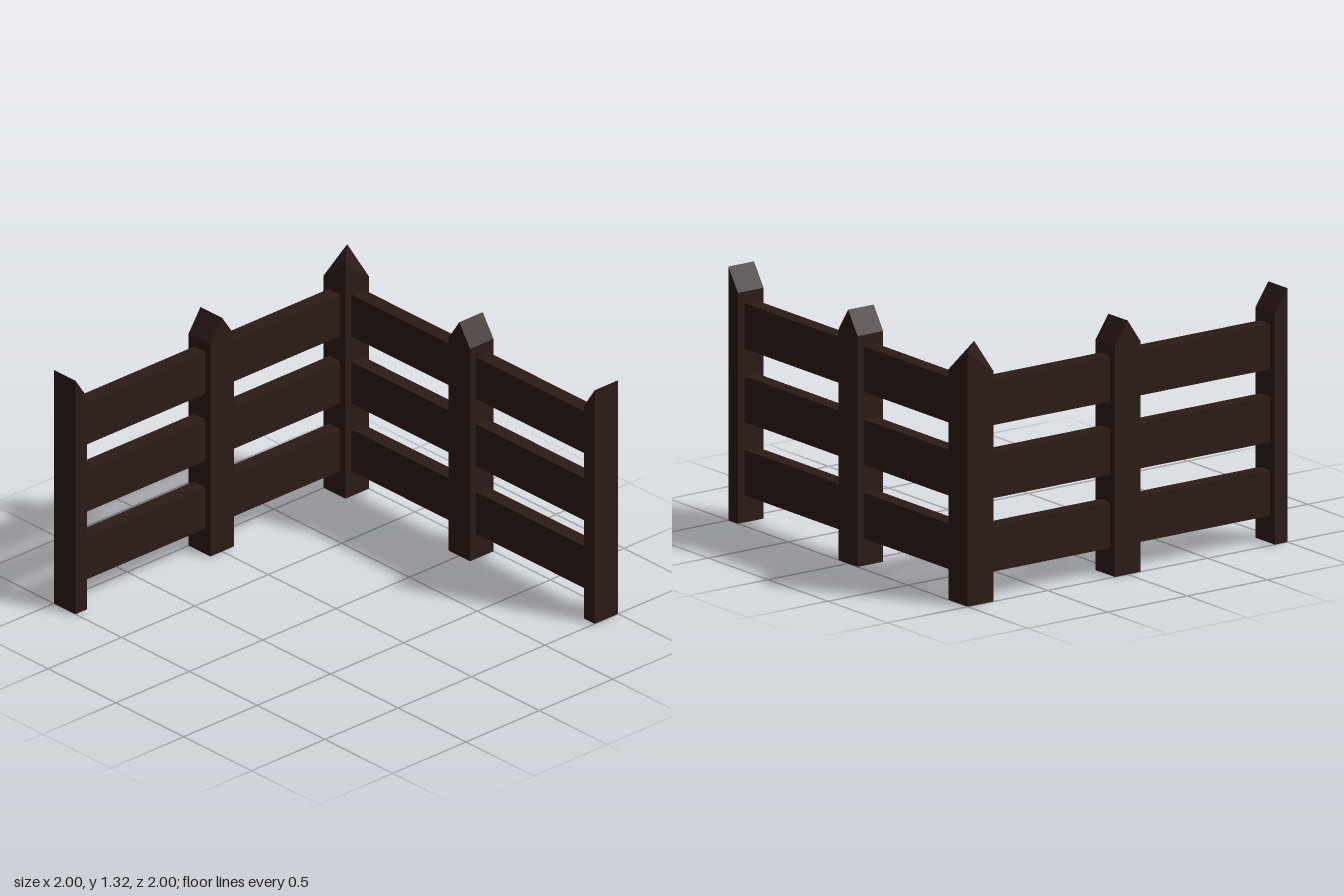
import * as THREE from 'three';

const wood = new THREE.MeshStandardMaterial({ color: 0x2b1b17, flatShading: true });
const HEIGHT = 1.32, SHOULDER = 1.2, HALF = 0.08, CENTRE = -0.92;

function add(parent, name, geometry, x = 0, y = 0, z = 0) {
  const mesh = new THREE.Mesh(geometry, wood);
  mesh.name = name;
  mesh.position.set(x, y, z);
  parent.add(mesh);
}

// Post with a pointed top; the end post is cut off at its ridge
function postGeometry(cutAtRidge) {
  const points = [[-HALF, 0]];
  if (cutAtRidge) points.push([0, 0]);
  else points.push([HALF, 0], [HALF, SHOULDER]);
  points.push([0, HEIGHT], [-HALF, SHOULDER]);
  const shape = new THREE.Shape(points.map(([x, y]) => new THREE.Vector2(x, y)));
  return new THREE.ExtrudeGeometry(shape, { depth: 2 * HALF, bevelEnabled: false })
    .translate(0, 0, -HALF);
}

// Corner post whose ridge runs along the diagonal
function cornerGeometry() {
  const box = new THREE.BoxGeometry(2 * HALF, HEIGHT, 2 * HALF).translate(0, HEIGHT / 2, 0);
  const p = box.attributes.position;
  for (let i = 0; i < p.count; i++) {
    if (p.getY(i) > 1 && p.getX(i) * p.getZ(i) > 0) p.setY(i, SHOULDER);
  }
  // turn the split of the top face onto the outer-to-inner diagonal
  box.rotateY(Math.PI / 2);
  const flat = box.toNonIndexed();
  flat.computeVertexNormals();
  return flat;
}

// One straight run of fence along x: three rails, a middle post and an end post
function fenceRun(name) {
  const run = new THREE.Group();
  run.name = name;
  add(run, 'middlePost', postGeometry(false));
  add(run, 'endPost', postGeometry(true), 1);
  const start = CENTRE + HALF, end = 1 - HALF;
  for (const y of [0.26, 0.642, 1.022]) {
    add(run, 'rail', new THREE.BoxGeometry(end - start, 0.237, 0.08), (start + end) / 2, y);
  }
  return run;
}

export function createModel() {
  const model = new THREE.Group();
  model.name = 'cornerFence';

  const back = fenceRun('backRun');
  back.position.z = CENTRE;
  const side = fenceRun('sideRun');
  side.rotation.y = -Math.PI / 2;
  side.position.x = CENTRE;
  model.add(back, side);

  add(model, 'cornerPost', cornerGeometry(), CENTRE, 0, CENTRE);
  return model;
}
